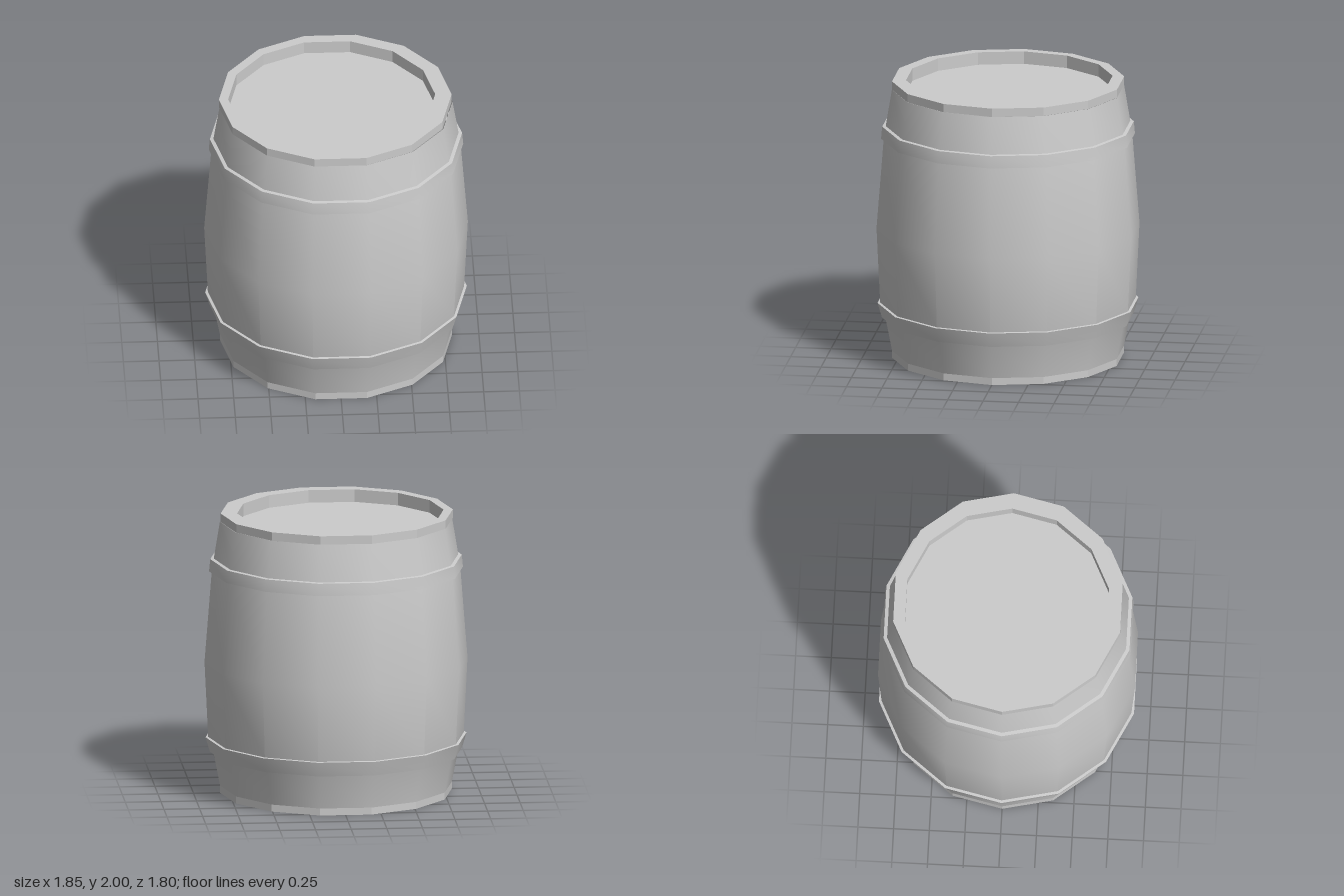
import * as THREE from 'three';
import { toCreasedNormals } from 'three/addons/utils/BufferGeometryUtils.js';

const SIDES = 14;

// Revolve [radius, y] points, listed so that the outer side runs upward.
function revolve(name, points, flat = false) {
  const profile = points.map(([r, y]) => new THREE.Vector2(r, y));
  let geometry = new THREE.LatheGeometry(profile, SIDES, Math.PI / 2);
  if (!flat) geometry = toCreasedNormals(geometry, 0.5);
  const mesh = new THREE.Mesh(
    geometry,
    new THREE.MeshStandardMaterial({ color: 0xcccccc, flatShading: flat, side: THREE.DoubleSide })
  );
  mesh.name = name;
  return mesh;
}

export function createModel() {
  const barrel = new THREE.Group();
  barrel.name = 'barrel';

  // Bulging staves, smooth all round
  barrel.add(revolve('staves', [
    [0.813, 0.05], [0.862, 0.3], [0.897, 0.4], [0.923, 0.94],
    [0.872, 1.59], [0.858, 1.68], [0.815, 1.94],
  ]));

  // Metal hoops, each a thin band with ledges reaching into the staves
  barrel.add(revolve('lowerHoop', [
    [0.85, 0.295], [0.885, 0.295], [0.916, 0.4], [0.88, 0.405],
  ]));
  barrel.add(revolve('upperHoop', [
    [0.85, 1.588], [0.891, 1.588], [0.883, 1.675], [0.85, 1.68],
  ]));

  // Faceted bottom rim with its recessed head
  barrel.add(revolve('bottomRim', [
    [0, 0.06], [0.73, 0.06], [0.73, 0], [0.813, 0], [0.813, 0.05],
  ], true));

  // Faceted top rim with its recessed lid, the opening slightly off-centre
  const topRim = revolve('topRim', [
    [0.815, 1.94], [0.815, 2], [0.725, 2], [0.725, 1.91], [0, 1.91],
  ], true);
  const p = topRim.geometry.attributes.position;
  for (let i = 0; i < p.count; i++) {
    const inner = Math.hypot(p.getX(i), p.getZ(i)) < 0.75;
    p.setX(i, p.getX(i) - (inner ? 0.03 : 0.005));
    if (inner) p.setZ(i, p.getZ(i) - 0.005);
  }
  barrel.add(topRim);

  return barrel;
}
